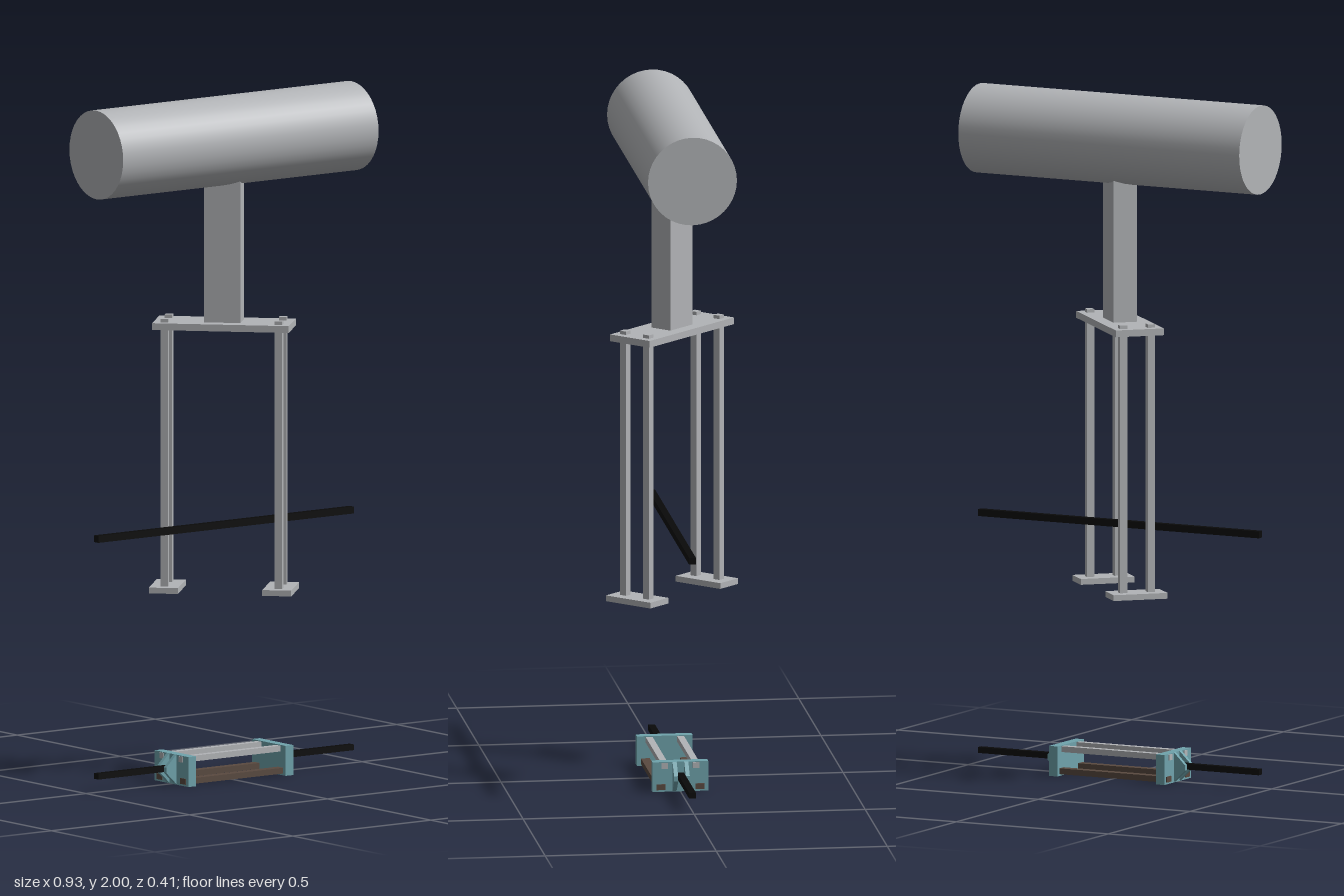
import * as THREE from 'three';

const mat = (name, color, flatShading = false) => {
  const m = new THREE.MeshStandardMaterial({ color, flatShading });
  m.name = name;
  return m;
};

export function createModel() {
  const grey = mat('grey steel', 0xb2b4b7);
  const teal = mat('teal', 0x6fa3ac);
  const black = mat('black', 0x0a0a0a);
  const brown = mat('dark brown', 0x5a4a40);
  const model = new THREE.Group();
  model.name = 'model';

  const box = (parent, name, material, size, pos) => {
    const mesh = new THREE.Mesh(new THREE.BoxGeometry(...size), material);
    mesh.name = name;
    mesh.position.set(...pos);
    parent.add(mesh);
    return mesh;
  };

  // Horizontal drum at the top
  const drumGeo = new THREE.CylinderGeometry(0.13, 0.13, 0.925, 40).rotateZ(Math.PI / 2);
  const drum = new THREE.Mesh(drumGeo, grey);
  drum.name = 'drum';
  drum.position.y = 1.87;
  model.add(drum);

  // Hanger frame, turned 45 degrees under the drum
  const hanger = new THREE.Group();
  hanger.name = 'hanger';
  hanger.rotation.y = -Math.PI / 4;
  model.add(hanger);
  box(hanger, 'post', grey, [0.106, 0.45, 0.07], [0, 1.565, 0]);
  box(hanger, 'topPlate', grey, [0.4, 0.02, 0.145], [0, 1.33, 0]);
  for (const s of [-1, 1]) {
    box(hanger, 'foot', grey, [0.085, 0.017, 0.163], [s * 0.166, 0.557, 0]);
    for (const t of [-1, 1]) {
      box(hanger, 'hangerRod', grey, [0.022, 0.79, 0.022], [s * 0.167, 0.955, t * 0.042]);
    }
  }

  // Free cable between the hanger rods
  box(model, 'upperCable', black, [0.925, 0.02, 0.02], [0, 0.743, 0]);

  // Lower clamp: two end brackets joined by four rods
  const clamp = new THREE.Group();
  clamp.name = 'clamp';
  model.add(clamp);
  for (const t of [-1, 1]) {
    box(clamp, 'upperRod', grey, [0.385, 0.017, 0.02], [0, 0.077, t * 0.046]);
    box(clamp, 'lowerRod', brown, [0.385, 0.017, 0.026], [0, 0.014, t * 0.057]);
  }
  const cheekShape = new THREE.Shape([
    new THREE.Vector2(0.19, 0.002),
    new THREE.Vector2(0.226, 0.037),
    new THREE.Vector2(0.226, 0.053),
    new THREE.Vector2(0.19, 0.088),
  ]);
  const cheekGeo = new THREE.ExtrudeGeometry(cheekShape, { depth: 0.012, bevelEnabled: false });
  for (const s of [-1, 1]) {
    const end = new THREE.Group();
    end.name = s > 0 ? 'leftEnd' : 'rightEnd';
    end.rotation.y = s > 0 ? 0 : Math.PI;
    clamp.add(end);
    box(end, 'bracketPlate', teal, [0.028, 0.088, 0.163], [0.176, 0.044, 0]);
    for (const z of [0.011, -0.023]) {
      const cheek = new THREE.Mesh(cheekGeo, teal);
      cheek.name = 'bracketCheek';
      cheek.position.z = z;
      end.add(cheek);
    }
    box(end, 'lowerCable', black, [0.2725, 0.017, 0.02], [0.32625, 0.047, 0]);
  }
  return model;
}
